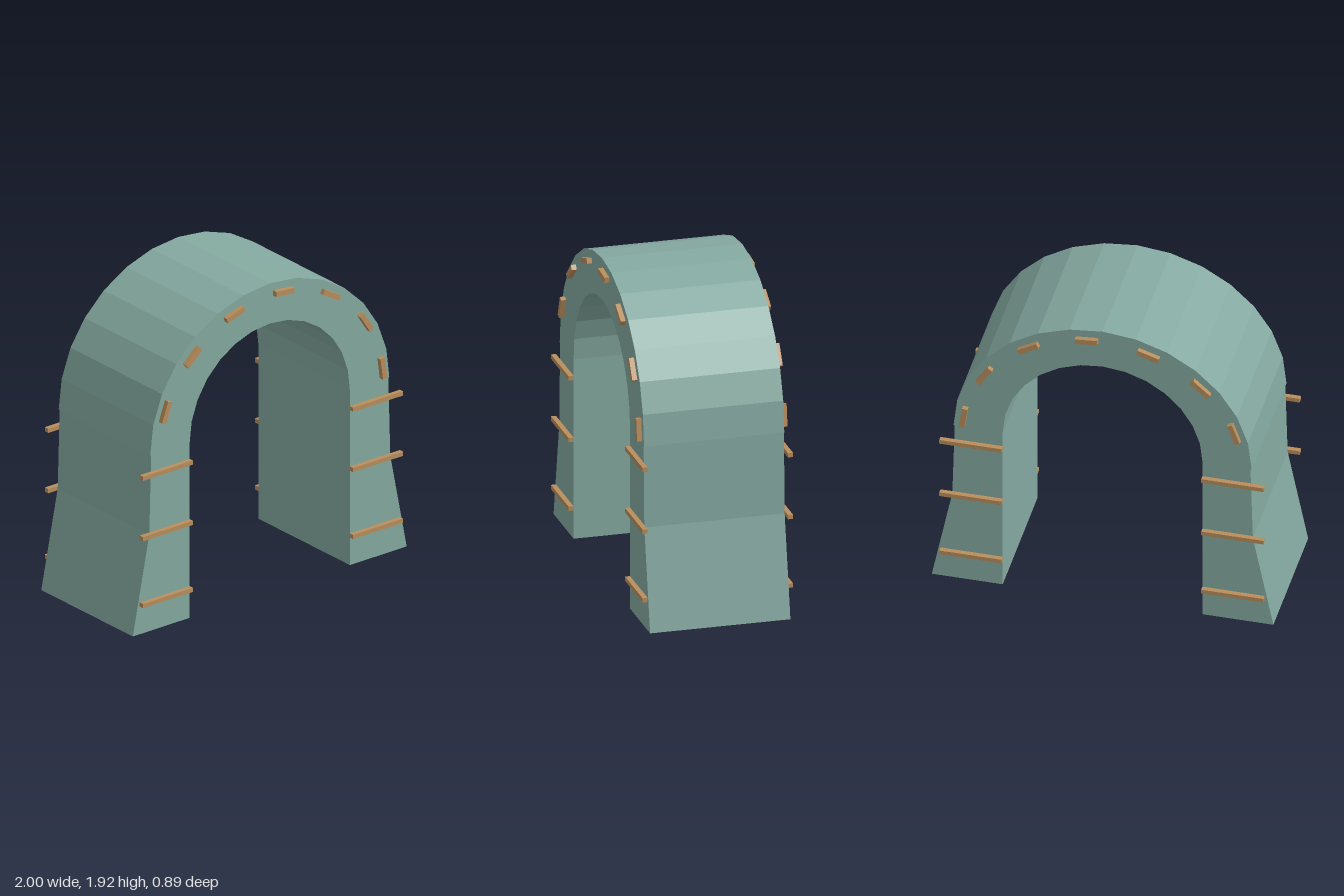
import * as THREE from 'three';

export function createModel() {
  const root = new THREE.Group();
  const stone = new THREE.MeshStandardMaterial({ color: 0x84a9a0 });
  stone.name = 'sage stone';
  const wood = new THREE.MeshStandardMaterial({ color: 0xb88e5c });
  wood.name = 'tan wood';

  const half = 0.415;   // half depth of the arch
  const spring = 1.09;  // height where the vault starts

  // Extrude an outline along z, centred
  function slab(name, points) {
    const shape = new THREE.Shape(points.map(([x, y]) => new THREE.Vector2(x, y)));
    const geo = new THREE.ExtrudeGeometry(shape, { depth: half * 2, bevelEnabled: false });
    geo.translate(0, 0, -half);
    const mesh = new THREE.Mesh(geo, stone);
    mesh.name = name;
    root.add(mesh);
  }

  // Faceted vault: half ring with 14 segments
  const arc = (rx, ry) => Array.from({ length: 15 }, (_, i) => {
    const a = (i / 14) * Math.PI;
    return [rx * Math.cos(a), spring + ry * Math.sin(a)];
  });
  slab('vault', [...arc(0.873, 0.83), ...arc(0.585, 0.58).reverse()]);

  // Legs, flaring outwards at the foot
  for (const [side, s] of [['left', 1], ['right', -1]]) {
    slab(side + 'Leg', [[0.585, 0], [1, 0], [0.88, 0.6], [0.866, spring], [0.585, spring]]
      .map(([x, y]) => [x * s, y]));
  }

  // Wooden strips lying on the front and back faces
  function strip(name, x, y, length, height, degrees) {
    for (const [face, s] of [['front', 1], ['back', -1]]) {
      const mesh = new THREE.Mesh(new THREE.BoxGeometry(length, height, 0.03), wood);
      mesh.name = face + name;
      mesh.position.set(x, y, s * (half + 0.015));
      mesh.rotation.z = THREE.MathUtils.degToRad(degrees);
      root.add(mesh);
    }
  }

  // Horizontal slats across the legs
  for (const y of [0.185, 0.602, 0.978]) {
    strip('LeftSlat', 0.767, y, 0.365, 0.026, 0);
    strip('RightSlat', -0.767, y, 0.365, 0.026, 0);
  }

  // Short pegs following the vault: x, y, tilt
  [
    [-0.773, 1.34, 70], [-0.577, 1.628, 42], [-0.27, 1.808, 18], [0.09, 1.848, -5],
    [0.432, 1.735, -30], [0.688, 1.492, -57], [0.81, 1.172, -82],
  ].forEach(([x, y, tilt]) => strip('VaultPeg', x, y, 0.132, 0.032, tilt));

  return root;
}
